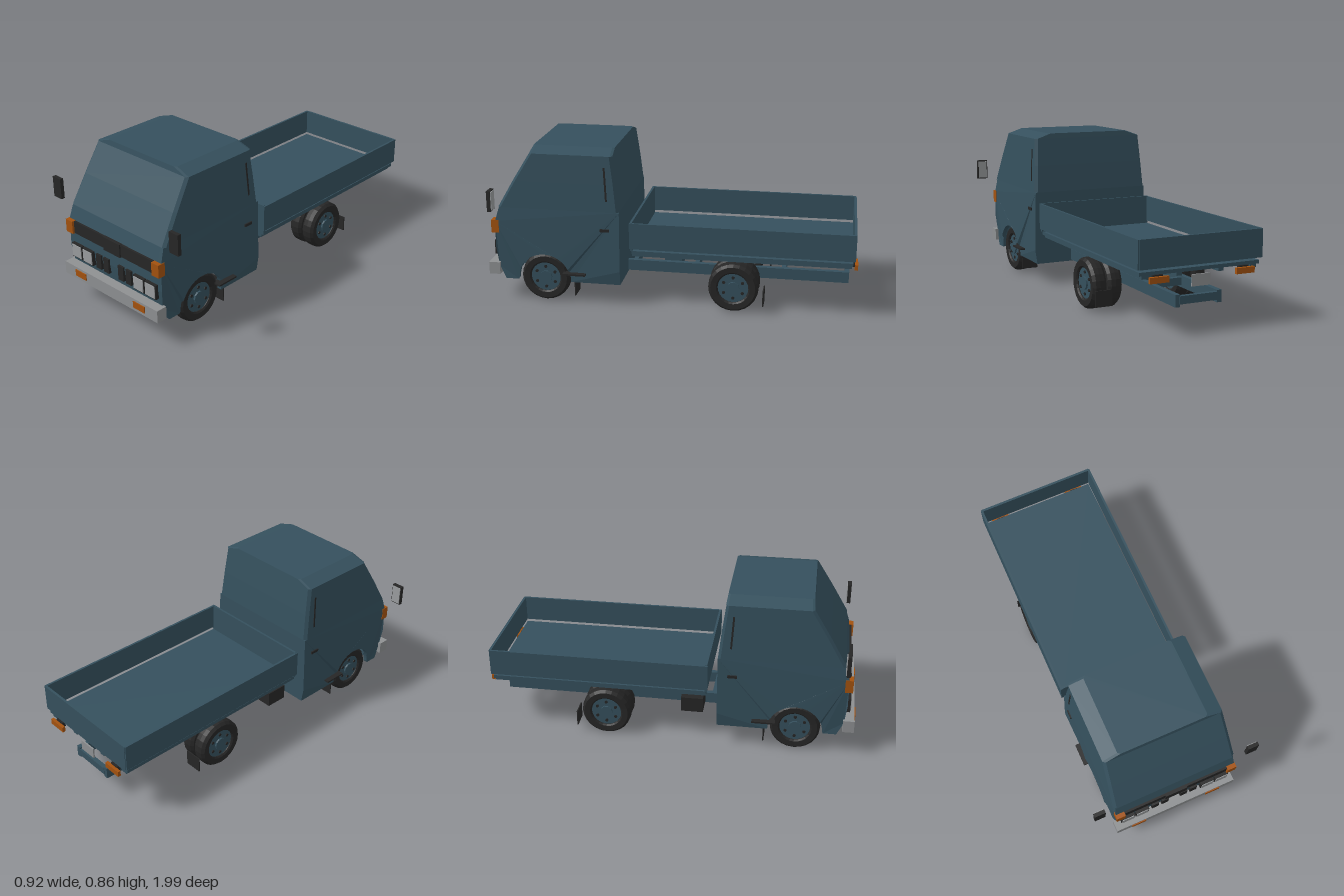
import * as THREE from 'three';

const mat = (name, color) => {
  const m = new THREE.MeshStandardMaterial({ color, flatShading: true });
  m.name = name;
  return m;
};

export function createModel() {
  const truck = new THREE.Group();
  truck.name = 'flatbedTruck';
  const paint = mat('bluePaint', 0x35505d);
  const dark = mat('blackRubber', 0x262626);
  const grey = mat('greyMetal', 0x8e9092);
  const lens = mat('lampLens', 0x999c9e);
  const orange = mat('orangeLamp', 0xa3520f);

  const add = (name, geo, m, parent = truck) => {
    const mesh = new THREE.Mesh(geo, m);
    mesh.name = name;
    parent.add(mesh);
    return mesh;
  };
  // Box from its limits
  const box = (name, m, x0, x1, y0, y1, z0, z1, parent) => {
    const mesh = add(name, new THREE.BoxGeometry(x1 - x0, y1 - y0, z1 - z0), m, parent);
    mesh.position.set((x0 + x1) / 2, (y0 + y1) / 2, (z0 + z1) / 2);
    return mesh;
  };
  // The same box on both sides
  const pair = (name, m, x0, x1, ...rest) => {
    box(name + 'Left', m, x0, x1, ...rest);
    box(name + 'Right', m, -x1, -x0, ...rest);
  };
  // Side profile (z, y) extruded across x
  const extrudeX = (shape, x0, x1) => {
    const g = new THREE.ExtrudeGeometry(shape, { depth: x1 - x0, bevelEnabled: false, curveSegments: 14 });
    g.rotateY(-Math.PI / 2);
    g.translate(x1, 0, 0);
    return g;
  };
  // Lower cab narrows at the sill, the waist and the front corners
  const taper = (g) => {
    const p = g.attributes.position;
    for (let i = 0; i < p.count; i++) {
      const y = p.getY(i);
      let f = y < 0.19 ? 0.965 : y > 0.5 ? 0.98 : 1;
      if (p.getZ(i) > 0.9) f *= 0.98;
      p.setX(i, p.getX(i) * f);
    }
    g.computeVertexNormals();
    return g;
  };
  // Stacked rings with chamfered corners: [y, halfWidth, zBack, zFront]
  const loft = (levels, c) => {
    const rings = levels.map(([y, w, b, f]) => [
      [w - c, f], [w, f - c], [w, b + c], [w - c, b], [c - w, b], [-w, b + c], [-w, f - c], [c - w, f],
    ].map(([x, z]) => [x, y, z]));
    const v = [];
    for (let k = 0; k < rings.length - 1; k++) {
      for (let i = 0; i < 8; i++) {
        const j = (i + 1) % 8, A = rings[k], B = rings[k + 1];
        v.push(...A[i], ...A[j], ...B[j], ...A[i], ...B[j], ...B[i]);
      }
    }
    const top = rings[rings.length - 1], low = rings[0];
    for (let i = 1; i < 7; i++) {
      v.push(...top[0], ...top[i], ...top[i + 1]);
      v.push(...low[0], ...low[i + 1], ...low[i]);
    }
    const g = new THREE.BufferGeometry();
    g.setAttribute('position', new THREE.Float32BufferAttribute(v, 3));
    g.computeVertexNormals();
    return g;
  };

  // Lower cab: side skins with wheel arches around a core with a raised floor
  const outer = (s) => {
    s.lineTo(0.9, 0.12);
    s.lineTo(0.935, 0.19);
    s.lineTo(0.947, 0.3);
    s.lineTo(0.945, 0.45);
    s.lineTo(0.92, 0.53);
    s.lineTo(0.262, 0.53);
    s.lineTo(0.262, 0.2);
    s.lineTo(0.262, 0.12);
    return s;
  };
  const skin = new THREE.Shape();
  skin.moveTo(0.262, 0.12);
  skin.lineTo(0.535, 0.12);
  skin.absarc(0.68, 0.13, 0.145, Math.PI, 0, true);
  skin.lineTo(0.83, 0.12);
  outer(skin);
  add('cabSideLeft', taper(extrudeX(skin, 0.325, 0.35)), paint);
  add('cabSideRight', taper(extrudeX(skin, -0.35, -0.325)), paint);
  const core = new THREE.Shape();
  core.moveTo(0.262, 0.12);
  [[0.29, 0.12], [0.29, 0.28], [0.87, 0.28], [0.87, 0.12]].forEach(([z, y]) => core.lineTo(z, y));
  outer(core);
  add('cabCore', taper(extrudeX(core, -0.326, 0.326)), paint);

  // Upper cab and roof
  add('cabUpper', loft([
    [0.53, 0.345, 0.262, 0.925], [0.68, 0.336, 0.278, 0.838], [0.83, 0.327, 0.298, 0.745],
  ], 0.015), paint);
  add('roof', loft([[0.83, 0.327, 0.296, 0.745], [0.858, 0.245, 0.3, 0.74]], 0.012), paint);

  // Cab trim
  for (const s of [-1, 1]) {
    const vent = box('pillarVent', dark, -0.003, 0.003, -0.09, 0.09, -0.005, 0.005);
    vent.position.set(s * 0.335, 0.68, 0.335);
    vent.rotation.set(0.06, 0, s * 0.06);
  }
  pair('doorHandle', dark, 0.345, 0.352, 0.422, 0.437, 0.315, 0.365);
  pair('sideStep', dark, 0.32, 0.368, 0.168, 0.177, 0.45, 0.575);
  pair('mirror', dark, 0.4, 0.46, 0.54, 0.652, 0.922, 0.942);
  pair('mirrorGlass', lens, 0.405, 0.455, 0.546, 0.646, 0.918, 0.923);

  // Front face
  box('grilleBand', dark, -0.297, 0.297, 0.387, 0.455, 0.93, 0.955);
  box('grilleBandCentre', dark, -0.062, 0.062, 0.383, 0.456, 0.93, 0.962);
  pair('cornerLamp', orange, 0.296, 0.346, 0.385, 0.456, 0.925, 0.967);
  for (const x of [0.154, 0.238]) {
    pair('headlampFrame', dark, x, x + 0.077, 0.25, 0.329, 0.93, 0.963);
    pair('headlampLens', lens, x + 0.005, x + 0.072, 0.256, 0.323, 0.96, 0.967);
  }
  for (const x of [0.036, 0.093]) pair('grilleSlot', dark, x, x + 0.039, 0.25, 0.33, 0.94, 0.958);
  box('bumper', grey, -0.35, 0.35, 0.146, 0.214, 0.93, 0.99);
  box('bumperLip', grey, -0.07, 0.07, 0.14, 0.147, 0.935, 0.985);
  pair('bumperSignal', orange, 0.18, 0.262, 0.165, 0.201, 0.985, 0.995);

  // Load bed
  box('bedFloor', paint, -0.33, 0.33, 0.3, 0.318, -0.965, 0.2);
  pair('bedBeam', paint, 0.28, 0.315, 0.283, 0.301, -0.96, 0.2);
  pair('bedInnerBeam', paint, 0.1, 0.13, 0.283, 0.301, -0.96, 0.2);
  pair('bedSide', paint, 0.33, 0.342, 0.332, 0.475, -0.975, 0.21);
  box('tailgate', paint, -0.335, 0.335, 0.332, 0.475, -0.978, -0.965);
  box('bedFront', paint, -0.335, 0.335, 0.318, 0.478, 0.195, 0.207);

  // Chassis
  pair('chassisRail', paint, 0.102, 0.128, 0.127, 0.188, -0.95, 0.88);
  for (const z of [-0.94, -0.6, -0.12, 0.225, 0.5]) {
    box('crossMember', paint, -0.105, 0.105, 0.14, 0.18, z - 0.012, z + 0.012);
  }
  box('batteryBox', dark, -0.28, -0.16, 0.155, 0.238, 0.06, 0.18);
  box('fuelTank', paint, -0.12, 0.1, 0.15, 0.22, -0.035, 0.06);
  box('differential', paint, -0.047, 0.047, 0.096, 0.175, -0.39, -0.3);

  // Rear lamps and plate
  pair('rearLamp', orange, 0.185, 0.287, 0.265, 0.295, -0.992, -0.975);
  pair('rearLampBracket', dark, 0.21, 0.26, 0.275, 0.302, -0.976, -0.955);
  box('rearPlate', grey, -0.05, 0.05, 0.225, 0.283, -0.97, -0.962);

  // Wheels, axles and mudflaps
  const tyreGeo = new THREE.LatheGeometry([
    [0.082, 0.03], [0.082, -0.03], [0.09, -0.037], [0.12, -0.039], [0.133, -0.024],
    [0.135, 0], [0.133, 0.024], [0.12, 0.039], [0.09, 0.037], [0.082, 0.03],
  ].map(([r, a]) => new THREE.Vector2(r, a)), 24).rotateZ(Math.PI / 2);
  const disc = (r, w, n) => new THREE.CylinderGeometry(r, r, w, n).rotateZ(Math.PI / 2);
  const rimGeo = disc(0.084, 0.05, 24), hubGeo = disc(0.034, 0.07, 10), nutGeo = disc(0.009, 0.06, 6);
  const wheel = (name, x, z) => {
    const w = new THREE.Group();
    w.name = name;
    add('tyre', tyreGeo, dark, w);
    add('rim', rimGeo, paint, w);
    add('hub', hubGeo, paint, w);
    for (let i = 0; i < 6; i++) {
      const a = i * Math.PI / 3;
      add('rimHole', nutGeo, dark, w).position.set(0, 0.058 * Math.cos(a), 0.058 * Math.sin(a));
    }
    w.position.set(x, 0.137, z);
    truck.add(w);
  };
  for (const s of [-1, 1]) {
    wheel('frontWheel', s * 0.292, 0.68);
    wheel('rearOuterWheel', s * 0.292, -0.345);
    wheel('rearInnerWheel', s * 0.205, -0.345);
  }
  for (const z of [0.68, -0.345]) add('axle', disc(0.016, 0.56, 10), paint).position.set(0, 0.137, z);
  pair('frontMudflap', dark, 0.24, 0.335, 0.042, 0.17, 0.511, 0.517);
  pair('rearMudflap', dark, 0.24, 0.335, 0.045, 0.13, -0.509, -0.503);

  return truck;
}
